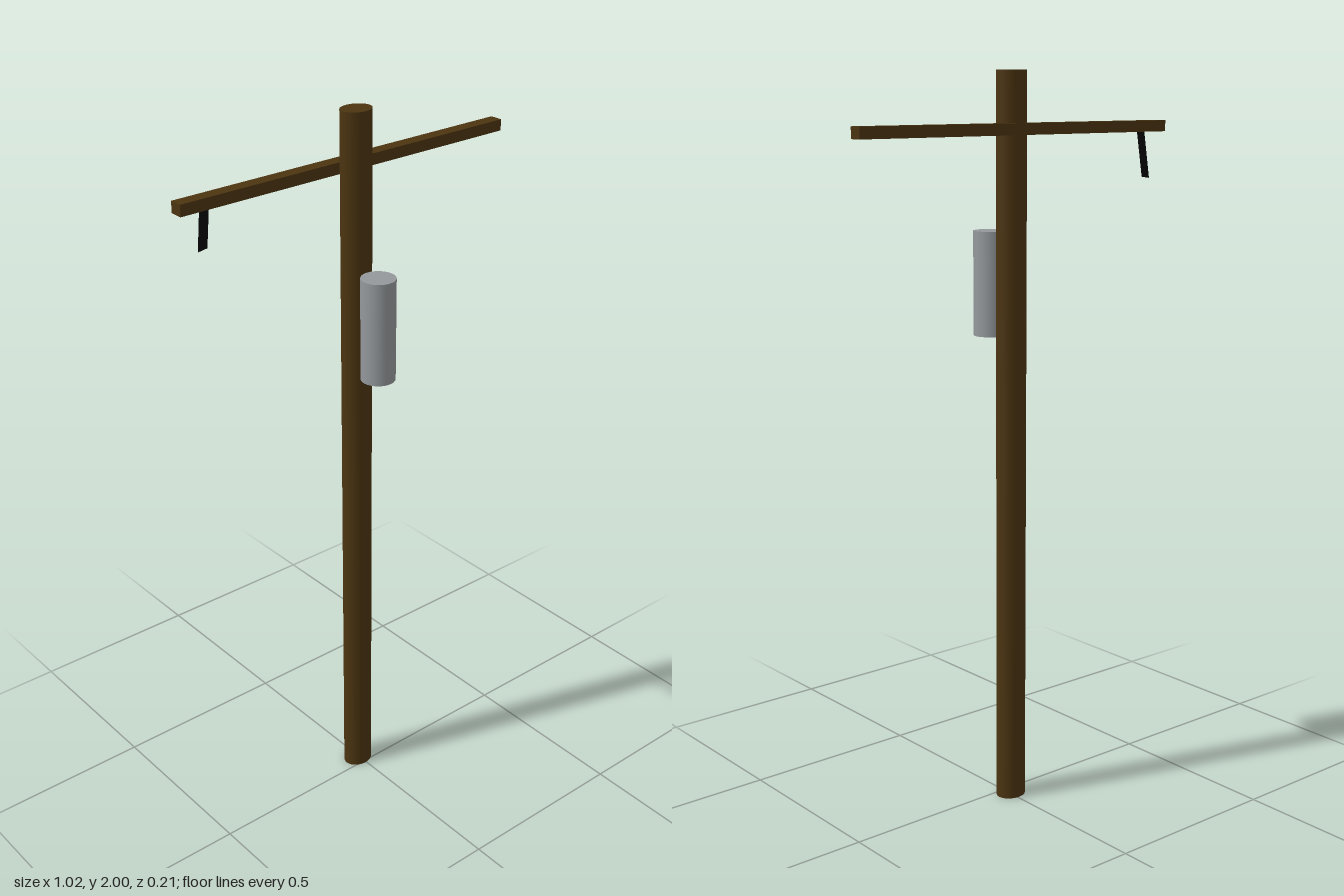
import * as THREE from 'three';

export function createModel() {
  const group = new THREE.Group();
  const material = (name, color) => {
    const m = new THREE.MeshStandardMaterial({ color });
    m.name = name;
    return m;
  };
  const wood = material('brown wood', 0x4b3410);
  const metal = material('grey metal', 0x94989b);
  const black = material('black strap', 0x080808);
  black.side = THREE.DoubleSide;

  const add = (name, geometry, mat, x, y, z) => {
    const mesh = new THREE.Mesh(geometry, mat);
    mesh.name = name;
    mesh.position.set(x, y, z);
    group.add(mesh);
    return mesh;
  };

  // Slightly oval upright pole
  const pole = add('pole', new THREE.CylinderGeometry(1, 1, 2, 32), wood, -0.004, 1, -0.028);
  pole.scale.set(0.043, 1, 0.036);

  // Crossarm on the back of the pole
  add('crossarm', new THREE.BoxGeometry(1.02, 0.03, 0.036), wood, 0, 1.852, -0.066);

  // Transformer can on the front of the pole
  add('transformer', new THREE.CylinderGeometry(0.046, 0.046, 0.28, 32), metal, -0.001, 1.445, 0.055);

  // Flat loose strap slanting down and back from the crossarm
  const top = new THREE.Vector3(-0.43, 1.84, -0.069);
  const bottom = new THREE.Vector3(-0.417, 1.716, -0.104);
  const halfWidth = 0.014;
  const strap = new THREE.BufferGeometry().setFromPoints([
    new THREE.Vector3(bottom.x - halfWidth, bottom.y - 0.002, bottom.z),
    new THREE.Vector3(bottom.x + halfWidth, bottom.y + 0.002, bottom.z),
    new THREE.Vector3(top.x + halfWidth, top.y, top.z),
    new THREE.Vector3(top.x - halfWidth, top.y, top.z),
  ]);
  strap.setIndex([0, 1, 2, 0, 2, 3]);
  strap.computeVertexNormals();
  add('strap', strap, black, 0, 0, 0);

  return group;
}
